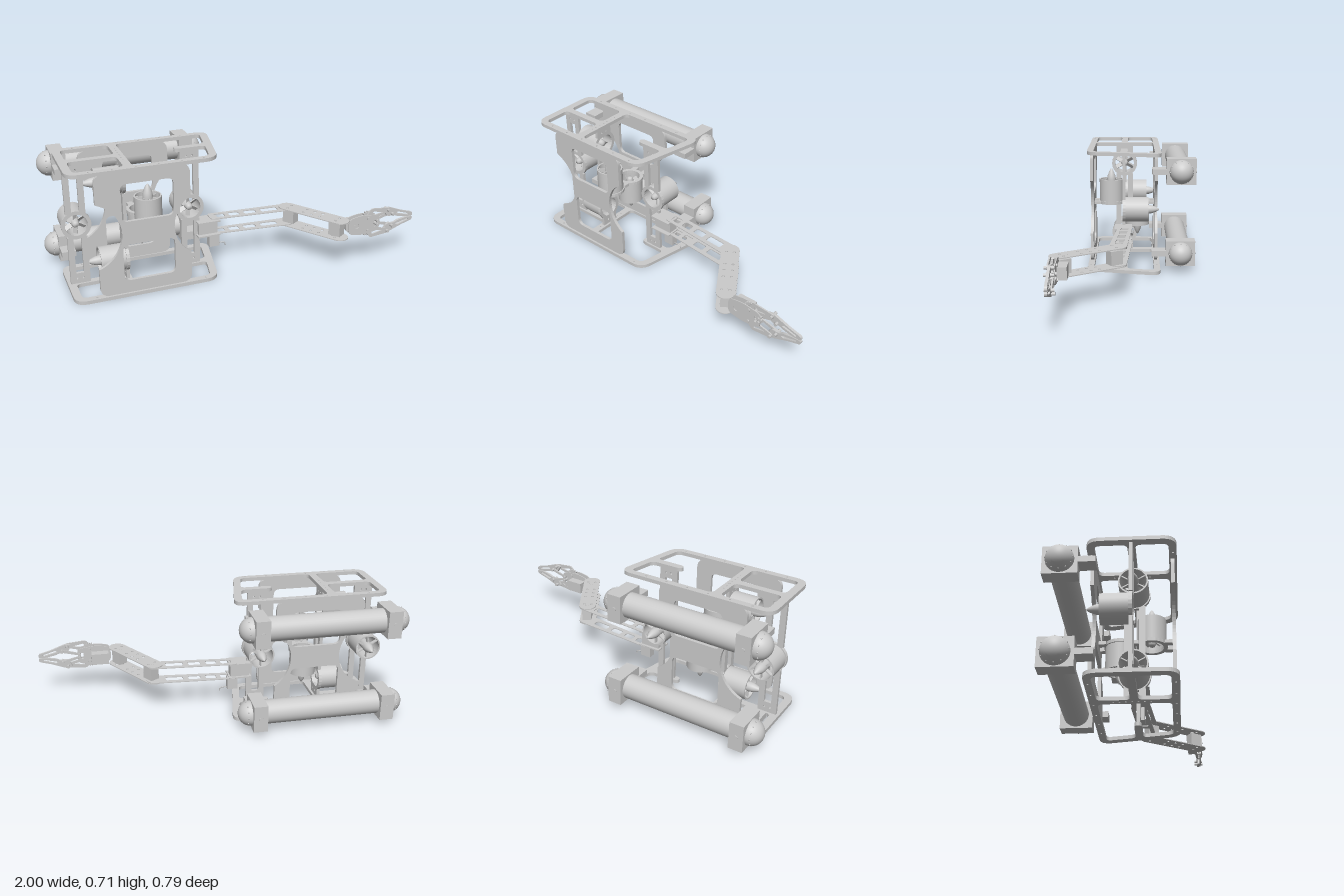
import * as THREE from 'three';

const grey = new THREE.MeshStandardMaterial({ color: 0xcccccc, side: THREE.DoubleSide });

function add(parent, name, geo, x = 0, y = 0, z = 0) {
  const m = new THREE.Mesh(geo, grey);
  m.name = name;
  m.position.set(x, y, z);
  parent.add(m);
  return m;
}
const box = (p, name, w, h, d, x, y, z) => add(p, name, new THREE.BoxGeometry(w, h, d), x, y, z);
const cyl = (p, name, r, h, x, y, z, n = 24) => add(p, name, new THREE.CylinderGeometry(r, r, h, n), x, y, z);

// Closed polygon with rounded corners
function roundPoly(pts, r, target = new THREE.Shape()) {
  const v = pts.map(p => new THREE.Vector2(p[0], p[1]));
  v.forEach((p, i) => {
    const a = v[(i + v.length - 1) % v.length], b = v[(i + 1) % v.length];
    const toward = q => p.clone().add(q.clone().sub(p).setLength(Math.min(r, p.distanceTo(q) * 0.49)));
    const s = toward(a), e = toward(b);
    i ? target.lineTo(s.x, s.y) : target.moveTo(s.x, s.y);
    target.quadraticCurveTo(p.x, p.y, e.x, e.y);
  });
  target.closePath();
  return target;
}
const hole = (pts, r) => roundPoly(pts, r, new THREE.Path());
const rect = (x0, x1, y0, y1) => [[x0, y0], [x1, y0], [x1, y1], [x0, y1]];
const circle = (x, y, r, T = THREE.Path) => new T().absarc(x, y, r, 0, Math.PI * 2, false);
const extrude = (shape, depth) => new THREE.ExtrudeGeometry(shape, { depth, bevelEnabled: false, curveSegments: 12 });
// Shapes drawn as (x, -z), laid flat so that depth rises in y
const flat = (shape, depth) => extrude(shape, depth).rotateX(-Math.PI / 2);
const xz = pts => pts.map(([x, z]) => [x, -z]);

// Ducted thruster: intake at z = 0, tail cone toward +z
function thruster() {
  const g = new THREE.Group();
  g.name = 'thruster';
  const P = (r, y) => new THREE.Vector2(r, y);
  const sharp = pts => {
    const flatGeo = new THREE.LatheGeometry(pts, 32).toNonIndexed();
    return flatGeo.rotateX(Math.PI / 2);
  };
  for (const seg of [[P(0.074, 0), P(0.074, 0.135)], [P(0.074, 0.135), P(0.066, 0.135)],
    [P(0.066, 0.135), P(0.062, 0)], [P(0.062, 0), P(0.074, 0)]]) add(g, 'duct', sharp(seg));
  add(g, 'hub', sharp([P(0, -0.012), P(0.014, -0.01), P(0.019, 0), P(0.026, 0.06), P(0.028, 0.13),
    P(0.024, 0.155), P(0.015, 0.18), P(0.005, 0.198), P(0, 0.2)]));
  for (let i = 0; i < 6; i++) {
    const arm = new THREE.Group();
    arm.name = 'fanBlade';
    arm.rotation.z = i * Math.PI / 3;
    const blade = box(arm, 'blade', 0.026, 0.05, 0.004, 0, 0.042, 0.025);
    blade.rotation.y = 0.7;
    box(arm, 'strut', 0.006, 0.05, 0.02, 0, 0.044, 0.115);
    g.add(arm);
  }
  return g;
}

// Two-rail mounting ladder along +y with thrusters at given heights
function ladder(length, mounts, endPlates) {
  const g = new THREE.Group();
  g.name = 'thrusterLadder';
  const ring = circle(0, 0, 0.08, THREE.Shape);
  ring.holes.push(circle(0, 0, 0.06));
  const stops = [0, ...mounts.flatMap(m => [m.at - 0.066, m.at + 0.066]), length];
  for (let i = 0; i < stops.length; i += 2) {
    const h = stops[i + 1] - stops[i];
    if (h > 0) for (const s of [-1, 1]) box(g, 'rail', 0.032, h, 0.018, s * 0.037, stops[i] + h / 2, -0.009);
  }
  if (endPlates) for (const y of [0, length - 0.06]) {
    const plate = roundPoly(rect(-0.053, 0.053, 0, 0.06), 0.004);
    for (const s of [-1, 1]) plate.holes.push(hole(rect(s * 0.027 - 0.016, s * 0.027 + 0.016, 0.024, 0.036), 0.006));
    add(g, 'slottedEnd', extrude(plate, 0.018), 0, y, -0.018);
  }
  for (const m of mounts) {
    add(g, 'mountRing', extrude(ring, 0.018), 0, m.at, -0.018);
    const t = thruster();
    t.position.set(0, m.at, m.flip ? -0.018 : 0);
    if (m.flip) t.rotation.y = Math.PI;
    g.add(t);
  }
  return g;
}

function frame(root) {
  // Top and bottom skid plates
  const skid = roundPoly(xz([[-0.935, -0.195], [-0.06, -0.195], [-0.15, 0.238], [-0.935, 0.238]]), 0.07);
  skid.holes.push(
    hole(xz(rect(-0.893, -0.637, -0.158, 0.002)), 0.03),
    hole(xz(rect(-0.893, -0.637, 0.04, 0.2)), 0.03),
    hole(xz([[-0.593, -0.158], [-0.112, -0.158], [-0.143, 0], [-0.32, 0], [-0.32, 0.04], [-0.15, 0.04],
      [-0.184, 0.2], [-0.593, 0.2]]), 0.03));
  for (const z of [-0.177, 0.22]) for (let i = 0; i < 6; i++) skid.holes.push(circle(-0.82 + i * 0.12, -z, 0.005));
  for (let i = 0; i < 7; i++) skid.holes.push(circle(-0.615, -(-0.08 + i * 0.03), 0.004));
  for (const y of [0, 0.695]) add(root, 'skidPlate', flat(skid, 0.02), 0, y, 0);

  // Front and rear panels with waisted sides
  const s = new THREE.Shape(), c = 0.358, r = 0.05;
  const arcX = (cx, x, rad) => Math.acos((x - cx) / rad);
  const a = arcX(-0.86, -0.8, 0.19), b = arcX(-0.2, -0.3, 0.19);
  s.moveTo(-0.8, 0.07).quadraticCurveTo(-0.8, 0.02, -0.8 + r, 0.02);
  s.lineTo(-0.3 - r, 0.02).quadraticCurveTo(-0.3, 0.02, -0.3, 0.07);
  s.absarc(-0.2, c, 0.19, 2 * Math.PI - b, b, true);
  s.lineTo(-0.3, 0.645).quadraticCurveTo(-0.3, 0.695, -0.3 - r, 0.695);
  s.lineTo(-0.8 + r, 0.695).quadraticCurveTo(-0.8, 0.695, -0.8, 0.645);
  s.absarc(-0.86, c, 0.19, a, -a, true);
  s.closePath();
  s.holes.push(hole(rect(-0.67, -0.39, 0.425, 0.63), 0.035), hole(rect(-0.67, -0.39, 0.09, 0.295), 0.035));
  for (const z of [0.208, -0.182]) add(root, 'sidePanel', extrude(s, 0.018), 0, 0, z);
}

function buoyancyTubes(root) {
  for (const y of [0.602, 0.114]) {
    const g = new THREE.Group();
    g.name = 'buoyancyTube';
    g.position.set(-0.53, y, -0.313);
    root.add(g);
    cyl(g, 'tube', 0.067, 0.8, 0, 0, 0, 36).rotation.z = Math.PI / 2;
    for (const e of [-1, 1]) {
      box(g, 'clampBlock', 0.078, 0.152, 0.172, e * 0.36, 0, 0);
      box(g, 'clampArm', 0.078, 0.032, 0.09, e * 0.36, 0, 0.125);
      cyl(g, 'clampBolt', 0.012, 0.006, e * 0.36, 0, -0.087).rotation.x = Math.PI / 2;
      const dome = new THREE.SphereGeometry(0.07, 32, 12, 0, Math.PI * 2, 0, Math.PI / 2);
      add(g, 'dome', dome, e * 0.399, 0, 0).rotation.z = -e * Math.PI / 2;
      for (let i = 0; i < 12; i++) {
        const t = i * Math.PI / 6;
        add(g, 'domeBolt', new THREE.SphereGeometry(0.004, 8, 6), e * 0.423, Math.cos(t) * 0.066, Math.sin(t) * 0.066);
      }
    }
  }
}

function arm(root) {
  const g = new THREE.Group();
  g.name = 'arm';
  root.add(g);
  // Shoulder bracket and its servo
  for (const y of [0.19, 0.272]) box(g, 'shoulderBracket', 0.13, 0.008, 0.1, -0.14, y, 0.025);
  box(g, 'shoulderBlock', 0.11, 0.08, 0.06, -0.14, 0.232, 0.02);
  box(g, 'shoulderServo', 0.06, 0.075, 0.042, -0.1, 0.145, 0.025);
  const wire = new THREE.CatmullRomCurve3([[-0.07, 0.115], [-0.045, 0.115], [-0.03, 0.11], [-0.027, 0.095]]
    .map(p => new THREE.Vector3(p[0], p[1], 0.025)));
  add(g, 'wire', new THREE.TubeGeometry(wire, 10, 0.003, 6));

  // Upper arm plates with lightening windows
  const upper = roundPoly(xz([[-0.12, -0.03], [0.375, 0.002], [0.4, 0.05], [0.36, 0.098], [-0.12, 0.052]]), 0.02);
  const lerpZ = (x, k) => (x + 0.12) * 0.08 + 0.011 + k;
  for (const [x0, x1] of [[-0.09, -0.03], [-0.005, 0.055], [0.085, 0.155], [0.185, 0.285]])
    upper.holes.push(hole(xz([[x0, lerpZ(x0, -0.022)], [x1, lerpZ(x1, -0.022)], [x1, lerpZ(x1, 0.022)],
      [x0, lerpZ(x0, 0.022)]]), 0.012));
  // Forearm plates, a pierced link with round ends
  const start = new THREE.Vector2(0.35, -0.05), end = new THREE.Vector2(0.535, -0.34);
  const ang = Math.atan2(end.y - start.y, end.x - start.x), w = 0.05;
  const fore = new THREE.Shape();
  fore.absarc(start.x, start.y, w, ang + Math.PI / 2, ang + Math.PI * 1.5, false);
  fore.absarc(end.x, end.y, w, ang - Math.PI / 2, ang + Math.PI / 2, false);
  fore.closePath();
  for (const t of [0.05, 0.35, 0.5, 0.65, 0.95]) for (const k of [-1, 1]) {
    const p = start.clone().lerp(end, t);
    fore.holes.push(circle(p.x - Math.sin(ang) * 0.022 * k, p.y + Math.cos(ang) * 0.022 * k, 0.008));
  }
  for (const y of [0.186, 0.276]) add(g, 'upperArmPlate', flat(upper, 0.005), 0, y, 0);
  for (const y of [0.181, 0.281]) add(g, 'forearmPlate', flat(fore, 0.005), 0, y, 0);
  for (const [x, z] of [[0.365, 0.065], [0.525, 0.32]]) {
    const servo = box(g, 'jointServo', 0.07, 0.075, 0.055, x, 0.232, z);
    servo.rotation.y = ang;
    cyl(g, 'jointPin', 0.014, 0.105, x - 0.01, 0.234, z - 0.01);
  }
}

function gripper(root) {
  const g = new THREE.Group();
  g.name = 'gripper';
  g.position.set(0, 0.247, 0.352);
  root.add(g);
  box(g, 'gripperServo', 0.1, 0.066, 0.05, 0.64, -0.01, -0.042);
  // Base plates
  const base = roundPoly([[0.575, -0.045], [0.66, -0.06], [0.77, -0.045], [0.77, 0.045], [0.66, 0.06], [0.575, 0.045]], 0.03);
  base.holes.push(circle(0.625, 0, 0.016), hole(rect(0.735, 0.755, -0.02, 0.02), 0.008));
  for (const z of [-0.018, 0.014]) add(g, 'basePlate', extrude(base, 0.005), 0, 0, z);
  // Toothed gears
  const gear = new THREE.Shape();
  for (let i = 0; i < 64; i++) {
    const r = i % 4 < 2 ? 0.038 : 0.032, t = i * Math.PI / 32;
    i ? gear.lineTo(r * Math.cos(t), r * Math.sin(t)) : gear.moveTo(r, 0);
  }
  gear.holes.push(circle(0, 0, 0.008));
  for (const s of [-1, 1]) {
    add(g, 'gear', extrude(gear, 0.01), 0.7, s * 0.037, -0.005);
    const flip = pts => pts.map(([x, y]) => [x, y * s]);
    // Drive link, parallel link and slotted jaw
    const drive = roundPoly(flip([[0.68, 0.035], [0.71, 0.02], [0.84, 0.052], [0.84, 0.076], [0.72, 0.088]]), 0.014);
    drive.holes.push(hole(flip([[0.73, 0.045], [0.8, 0.056], [0.73, 0.07]]), 0.008));
    add(g, 'driveLink', extrude(drive, 0.008), 0, 0, 0.005);
    const link = roundPoly(flip([[0.75, 0.012], [0.76, 0.002], [0.87, 0.03], [0.865, 0.048]]), 0.01);
    add(g, 'parallelLink', extrude(link, 0.008), 0, 0, -0.013);
    const jaw = roundPoly(flip([[0.8, 0.07], [0.83, 0.022], [0.875, 0.024], [0.9, 0.012], [0.955, 0.002], [1, 0.002],
      [0.996, 0.024], [0.93, 0.042], [0.84, 0.076]]), 0.012);
    jaw.holes.push(hole(flip([[0.885, 0.032], [0.97, 0.01], [0.975, 0.018], [0.9, 0.041]]), 0.004));
    add(g, 'jaw', extrude(jaw, 0.014), 0, 0, -0.007);
    for (const [x, y] of [[0.7, 0.037], [0.76, 0.012], [0.83, 0.063], [0.86, 0.036]])
      cyl(g, 'pivotPin', 0.009, 0.05, x, y * s, 0, 12).rotation.x = Math.PI / 2;
  }
}

export function createModel() {
  const root = new THREE.Group();
  root.name = 'underwaterRover';
  frame(root);
  buoyancyTubes(root);

  // Rear-facing thrusters on each side
  for (const x of [-0.866, -0.237]) {
    const l = ladder(0.675, [{ at: 0.34 }], true);
    l.position.set(x, 0.02, 0.012);
    l.rotation.y = Math.PI;
    root.add(l);
  }
  // Lateral thrusters, stacked
  const lateral = ladder(0.675, [{ at: 0.113 }, { at: 0.563 }], true);
  lateral.position.set(-0.624, 0.02, 0.022);
  lateral.rotation.y = -Math.PI / 2;
  root.add(lateral);
  // Vertical thrusters, one up and one down
  const vertical = ladder(0.373, [{ at: 0.105 }, { at: 0.268, flip: true }], false);
  vertical.position.set(-0.495, 0.367, 0.208);
  vertical.rotation.x = -Math.PI / 2;
  root.add(vertical);

  arm(root);
  gripper(root);
  return root;
}
